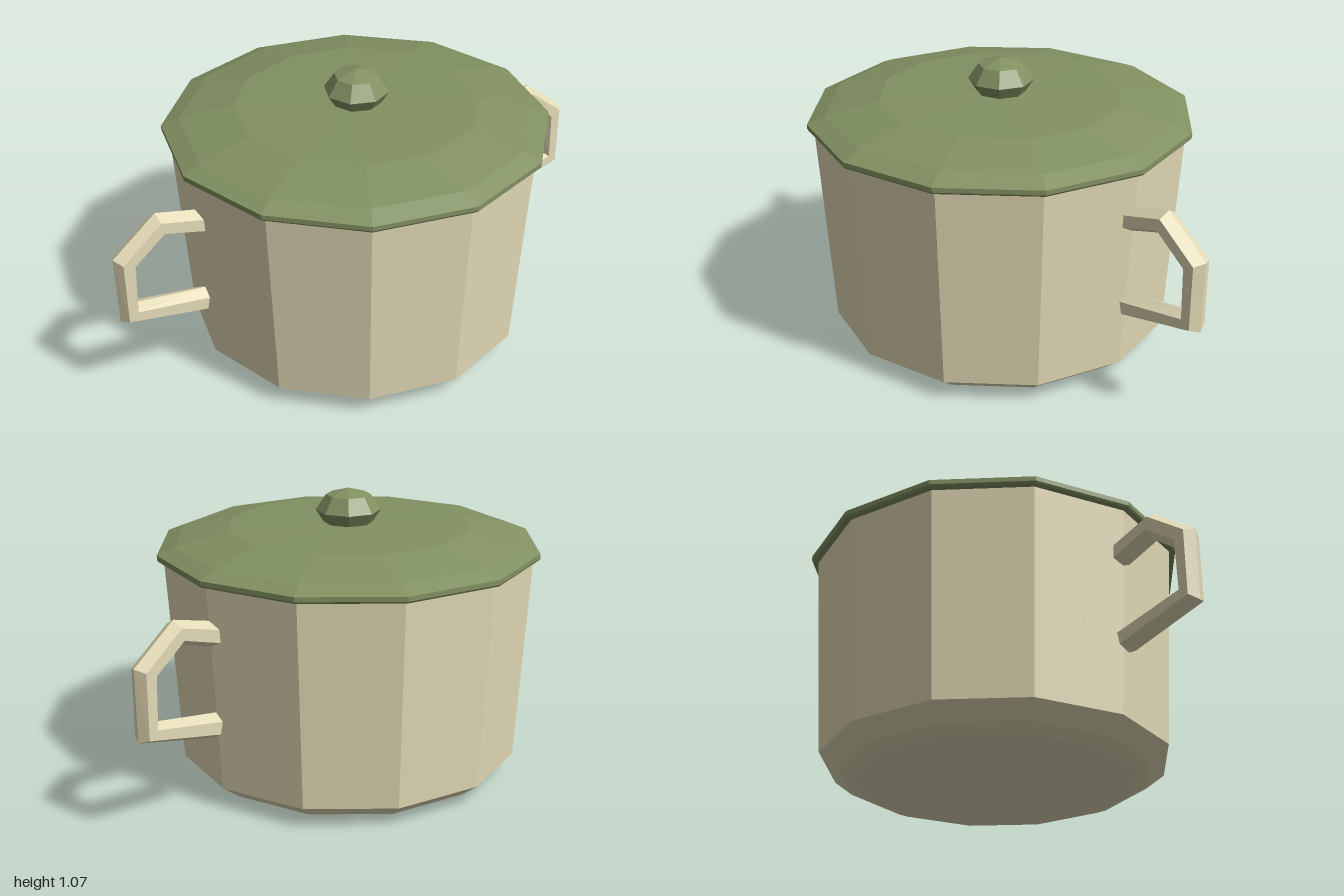
import * as THREE from 'three';

const enamel = new THREE.MeshStandardMaterial({ color: 0xe3dab6 });
enamel.name = 'creamEnamel';
const green = new THREE.MeshStandardMaterial({ color: 0x829162 });
green.name = 'oliveGreen';

// Faceted mesh: every face keeps its own flat normal
function faceted(name, geometry, material) {
  const flat = geometry.toNonIndexed();
  flat.computeVertexNormals();
  const mesh = new THREE.Mesh(flat, material);
  mesh.name = name;
  return mesh;
}

// Turned part from [radius, height] pairs, listed bottom to top
function turned(name, profile, sides, material) {
  const points = profile.map(([r, y]) => new THREE.Vector2(r, y));
  return faceted(name, new THREE.LatheGeometry(points, sides), material);
}

// Hexagonal bar following a path in the xy plane, with closed ends
function hexBar(path, radius) {
  const sides = 6, last = path.length - 1;
  const pts = path.map(([x, y]) => new THREE.Vector2(x, y));
  const dir = (i) => pts[i + 1].clone().sub(pts[i]).normalize();
  const positions = [], index = [];
  pts.forEach((p, i) => {
    const t = new THREE.Vector2();
    if (i > 0) t.add(dir(i - 1));
    if (i < last) t.add(dir(i));
    t.normalize();
    for (let j = 0; j < sides; j++) {
      const a = (j / sides) * Math.PI * 2;
      const out = Math.cos(a) * radius;
      positions.push(p.x - t.y * out, p.y + t.x * out, Math.sin(a) * radius);
    }
  });
  for (let i = 0; i < last; i++) {
    for (let j = 0; j < sides; j++) {
      const a = i * sides + j, b = i * sides + (j + 1) % sides;
      index.push(a, b, a + sides, b, b + sides, a + sides);
    }
  }
  const end = last * sides;
  for (let j = 1; j < sides - 1; j++) {
    index.push(0, j + 1, j, end, end + j, end + j + 1);
  }
  const geometry = new THREE.BufferGeometry();
  geometry.setAttribute('position', new THREE.Float32BufferAttribute(positions, 3));
  geometry.setIndex(index);
  return geometry;
}

export function createModel() {
  const model = new THREE.Group();
  model.name = 'cookingPot';

  // Tapered body with a bevelled foot
  model.add(turned('body', [
    [0, 0], [0.52, 0], [0.57, 0.02], [0.64, 0.075], [0.685, 0.836], [0, 0.836],
  ], 12, enamel));

  // Overhanging domed lid
  model.add(turned('lid', [
    [0, 0.838], [0.705, 0.838], [0.71, 0.845], [0.71, 0.862], [0.645, 0.889], [0.45, 0.931], [0, 0.942],
  ], 12, green));

  // Lid knob
  model.add(turned('knob', [
    [0, 0.93], [0.085, 0.93], [0.12, 0.985], [0.082, 1.042], [0, 1.066],
  ], 8, green));

  // Angular side handles; the right one is the left one turned half round
  const handle = hexBar([[0.62, 0.652], [0.82, 0.71], [0.957, 0.605], [0.96, 0.392], [0.67, 0.33]], 0.046);
  for (const [name, turn] of [['leftHandle', 0], ['rightHandle', Math.PI]]) {
    const mesh = faceted(name, handle, enamel);
    mesh.rotation.y = turn;
    model.add(mesh);
  }
  return model;
}
